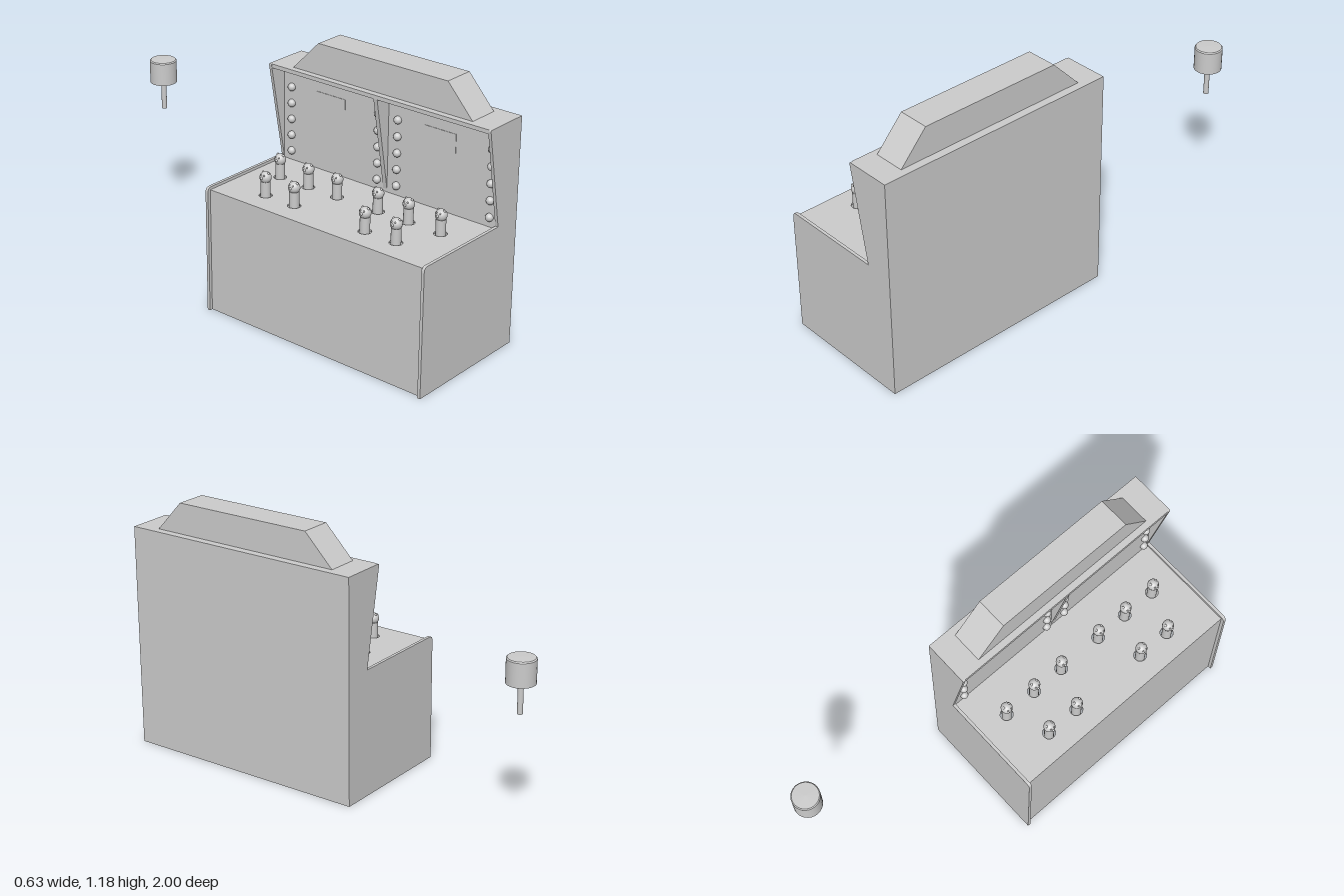
import * as THREE from 'three';

const grey = new THREE.MeshStandardMaterial({ color: 0xcccccc, side: THREE.DoubleSide });
const Z0 = -0.17, Z1 = 1.0, ZM = (Z0 + Z1) / 2, WALL = 0.014;

function add(parent, name, geometry, x = 0, y = 0, z = 0) {
  const mesh = new THREE.Mesh(geometry, grey);
  mesh.name = name;
  mesh.position.set(x, y, z);
  parent.add(mesh);
  return mesh;
}

// Box given by its lower and upper corners
function slab(parent, name, a, b) {
  const size = a.map((v, i) => b[i] - v);
  const mid = a.map((v, i) => (v + b[i]) / 2);
  return add(parent, name, new THREE.BoxGeometry(...size), ...mid);
}

// Stepped side outline with a rounded corner on the player's edge
function sideShape() {
  const s = new THREE.Shape();
  s.moveTo(-0.313, 0);
  s.lineTo(0.313, 0);
  s.lineTo(0.313, 1.037);
  s.lineTo(0.105, 1.037);
  s.quadraticCurveTo(0.098, 1.037, 0.099, 1.028);
  s.lineTo(0.182, 0.588);
  s.lineTo(-0.29, 0.588);
  s.quadraticCurveTo(-0.313, 0.588, -0.313, 0.565);
  s.closePath();
  return s;
}

const extrude = (shape, depth) =>
  new THREE.ExtrudeGeometry(shape, { depth, bevelEnabled: false, curveSegments: 6 });

// Mole centres as [x, z]
const moles = [
  ...[0.06, 0.22, 0.6, 0.76].map(z => [-0.185, z]),
  ...[-0.02, 0.14, 0.3, 0.52, 0.68, 0.845].map(z => [0, z]),
];

function makeMole(x, z) {
  const g = new THREE.Group();
  g.name = 'mole';
  g.position.set(x, 0, z);
  add(g, 'moleBody', new THREE.CylinderGeometry(0.0215, 0.0215, 0.165, 20), 0, 0.56, 0);
  add(g, 'moleHead', new THREE.SphereGeometry(0.026, 20, 14), 0, 0.659, 0);
  add(g, 'moleNose', new THREE.SphereGeometry(0.006, 10, 8), -0.025, 0.661, 0);
  for (const s of [-1, 1]) {
    add(g, 'moleEye', new THREE.SphereGeometry(0.004, 8, 6), -0.02, 0.673, s * 0.009);
    add(g, 'moleEar', new THREE.SphereGeometry(0.006, 8, 6), 0.002, 0.679, s * 0.015);
  }
  return g;
}

function makeMallet() {
  const g = new THREE.Group();
  g.name = 'mallet';
  g.position.set(0.217, 0, -0.9375);
  add(g, 'malletHandle', new THREE.CylinderGeometry(0.012, 0.012, 0.14, 16), 0, 0.665, 0);
  const profile = [[0, 0.728], [0.0625, 0.728], [0.0625, 0.728], [0.0625, 0.833],
    [0.0625, 0.833], [0.058, 0.838], [0.058, 0.838], [0, 0.84]];
  add(g, 'malletHead', new THREE.LatheGeometry(profile.map(p => new THREE.Vector2(...p)), 28));
  return g;
}

export function createModel() {
  const model = new THREE.Group();
  model.name = 'moleGame';
  const cabinet = new THREE.Group();
  cabinet.name = 'cabinet';
  model.add(cabinet);

  // Cabinet shell, open underneath
  const side = extrude(sideShape(), WALL);
  add(cabinet, 'sidePanel', side, 0, 0, Z0);
  add(cabinet, 'sidePanel', side, 0, 0, Z1 - WALL);
  const zi = Z0 + WALL, zo = Z1 - WALL;
  slab(cabinet, 'playerPanel', [-0.298, 0, zi], [-0.29, 0.575, zo]);
  slab(cabinet, 'backPanel', [0.305, 0, zi], [0.313, 1.037, zo]);
  slab(cabinet, 'topPanel', [0.1, 1.019, zi], [0.305, 1.037, zo]);
  slab(cabinet, 'scoreBoard', [0.182, 0.567, zi], [0.19, 1.019, zo]);

  // Playfield with a hole for every mole; shape y is -z after tilting flat
  const field = new THREE.Shape([
    [-0.29, -zo], [0.182, -zo], [0.182, -zi], [-0.29, -zi],
  ].map(p => new THREE.Vector2(...p)));
  for (const [x, z] of moles) {
    field.holes.push(new THREE.Path().absarc(x, -z, 0.029, 0, Math.PI * 2, true));
  }
  const fieldGeo = extrude(field, 0.008);
  fieldGeo.rotateX(-Math.PI / 2);
  add(cabinet, 'playfield', fieldGeo, 0, 0.567, 0);

  // Wedge between the two score boards
  const wedge = new THREE.Shape([[0.182, 0.588], [0.182, 1.019], [0.101, 1.019]]
    .map(p => new THREE.Vector2(...p)));
  add(cabinet, 'boardDivider', extrude(wedge, 0.02), 0, 0, ZM - 0.01);

  // Score windows and columns of lamps
  for (const offset of [0, 0.585]) {
    slab(cabinet, 'scoreWindow', [0.18, 0.84, 0.03 + offset], [0.183, 0.935, 0.19 + offset]);
    for (const z of [-0.108, 0.373]) {
      for (let i = 0; i < 5; i++) {
        add(cabinet, 'lamp', new THREE.SphereGeometry(0.018, 14, 10), 0.177, 0.62 + i * 0.075, z + offset);
      }
    }
  }

  // Sign on top with sloping ends
  const sign = new THREE.Shape([[0.89, 1.035], [0.76, 1.178], [0.08, 1.178], [-0.06, 1.035]]
    .map(([z, y]) => new THREE.Vector2(-z, y)));
  const signGeo = extrude(sign, 0.146);
  signGeo.rotateY(Math.PI / 2);
  add(model, 'topSign', signGeo, 0.13, 0, 0);

  for (const [x, z] of moles) model.add(makeMole(x, z));
  model.add(makeMallet());
  return model;
}
